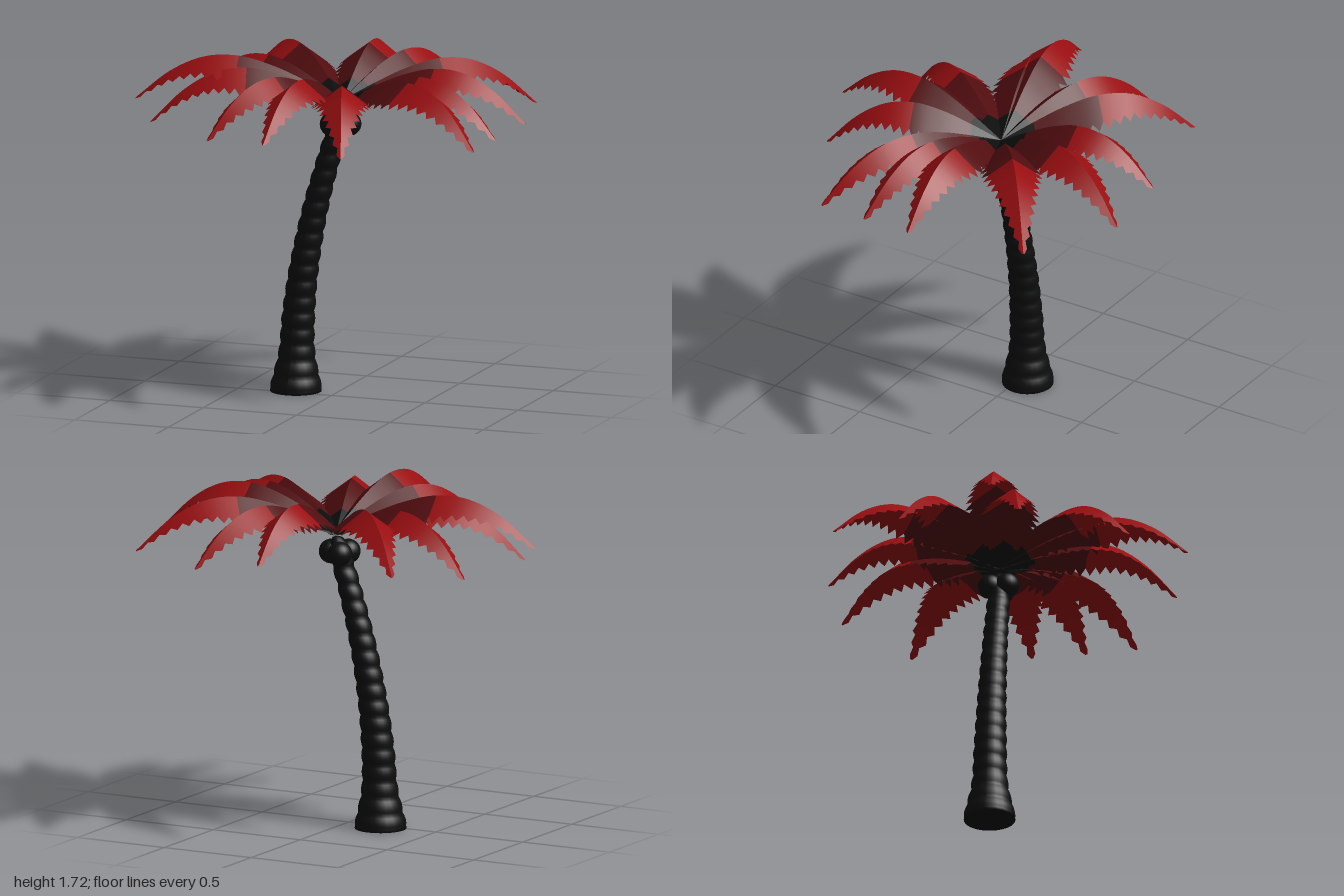
import * as THREE from 'three';

const charcoal = new THREE.MeshStandardMaterial({ color: 0x0d0e0e, side: THREE.DoubleSide });
charcoal.name = 'charcoal';
const darkRed = new THREE.MeshStandardMaterial({ color: 0x520d10, side: THREE.DoubleSide });
darkRed.name = 'darkRed';
const red = new THREE.MeshStandardMaterial({ color: 0x980e11, side: THREE.DoubleSide });
red.name = 'red';

const CROWN_X = 0.04, CROWN_Z = -0.05;
const STEPS = 36;

// Frond section along its length: (fraction of length, midrib height, half width)
const frondCurve = new THREE.CatmullRomCurve3([
  [0, 1.51, 0.04], [1 / 6, 1.59, 0.07], [2 / 6, 1.66, 0.125], [3 / 6, 1.70, 0.135],
  [4 / 6, 1.685, 0.1], [5 / 6, 1.6, 0.058], [1, 1.45, 0.005],
].map((p) => new THREE.Vector3(...p)), false, 'catmullrom', 0.5);

// Frond tips: x, y, z
const tips = [
  [0.0, 1.48, -0.925], [0.36, 1.43, -0.935], [0.84, 1.43, -0.685], [1.0, 1.45, -0.1],
  [0.95, 1.42, 0.19], [0.93, 1.41, 0.455], [0.345, 1.4, 0.79], [-0.02, 1.47, 0.925],
  [-0.4, 1.42, 0.71], [-0.877, 1.39, 0.246], [-1.0, 1.48, 0.134], [-0.87, 1.4, -0.37],
  [-0.67, 1.46, -0.75],
];

// A roof-shaped leaf with toothed edges, coloured in three bands
function makeFrond([tx, ty, tz]) {
  const dx = tx - CROWN_X, dz = tz - CROWN_Z;
  const length = Math.hypot(dx, dz);
  const sx = -dz / length, sz = dx / length;
  const positions = [];
  for (const side of [1, -1]) {
    for (let i = 0; i <= STEPS; i++) {
      const p = frondCurve.getPoint(i / STEPS);
      const t = i / STEPS;
      const y = p.y + (ty - 1.45) * t;
      let half = p.z;
      if (i > 8 && i < STEPS) half = i % 2 ? half * 1.1 + 0.006 : half * 0.9 - 0.004;
      const x = CROWN_X + dx * t, z = CROWN_Z + dz * t;
      positions.push(x, y, z);
      positions.push(x + sx * half * side, y - half * 0.75, z + sz * half * side);
    }
  }
  const index = [];
  const geometry = new THREE.BufferGeometry();
  const bands = [0, STEPS / 6, STEPS / 2, STEPS];
  for (let b = 0; b < 3; b++) {
    const start = index.length;
    for (let s = 0; s < 2; s++) {
      for (let i = bands[b]; i < bands[b + 1]; i++) {
        const a = (s * (STEPS + 1) + i) * 2;
        if (s === 0) index.push(a, a + 1, a + 2, a + 1, a + 3, a + 2);
        else index.push(a, a + 2, a + 1, a + 1, a + 2, a + 3);
      }
    }
    geometry.addGroup(start, index.length - start, b);
  }
  geometry.setAttribute('position', new THREE.Float32BufferAttribute(positions, 3));
  geometry.setIndex(index);
  geometry.computeVertexNormals();
  const frond = new THREE.Mesh(geometry, [charcoal, darkRed, red]);
  frond.name = 'frond';
  return frond;
}

// Ringed trunk: a lathe with bulges, bent along x
function makeTrunk() {
  const radius = new THREE.SplineCurve([
    [0, 0.13], [0.2, 0.09], [0.4, 0.081], [0.6, 0.074], [0.8, 0.068], [1, 0.063], [1.2, 0.058], [1.4, 0.054],
  ].map((p) => new THREE.Vector2(...p)));
  const bend = new THREE.SplineCurve([
    [0, -0.21], [0.2, -0.205], [0.4, -0.195], [0.6, -0.172], [0.8, -0.137], [1, -0.092], [1.2, -0.036], [1.4, 0.02],
  ].map((p) => new THREE.Vector2(...p)));
  const profile = [new THREE.Vector2(0.0001, 0)];
  const rings = 17, perRing = 6;
  for (let i = 0; i <= rings * perRing; i++) {
    const u = i / (rings * perRing);
    const bulge = 0.008 * Math.abs(Math.sin(Math.PI * u * rings)) - 0.004;
    profile.push(new THREE.Vector2(radius.getPoint(u).y + (i ? bulge : 0), 1.4 * u));
  }
  profile.push(new THREE.Vector2(0.045, 1.44), new THREE.Vector2(0.025, 1.465), new THREE.Vector2(0.0001, 1.47));
  const geometry = new THREE.LatheGeometry(profile, 24);
  const pos = geometry.attributes.position;
  for (let i = 0; i < pos.count; i++) {
    const y = pos.getY(i);
    const shift = y <= 1.4 ? bend.getPoint(y / 1.4).y : 0.02 + (y - 1.4) * 0.28;
    pos.setX(i, pos.getX(i) + shift);
    pos.setZ(i, pos.getZ(i) + CROWN_Z);
  }
  geometry.computeVertexNormals();
  const trunk = new THREE.Mesh(geometry, charcoal);
  trunk.name = 'trunk';
  return trunk;
}

export function createModel() {
  const palm = new THREE.Group();
  palm.name = 'palmTree';
  palm.add(makeTrunk());

  // Nuts clustered below the crown
  const nutGeometry = new THREE.SphereGeometry(0.062, 20, 14);
  for (const [x, z] of [[0, -0.007], [0.075, -0.05], [0, -0.093]]) {
    const nut = new THREE.Mesh(nutGeometry, charcoal);
    nut.name = 'nut';
    nut.position.set(x, 1.39, z);
    palm.add(nut);
  }

  // Crown of fronds
  const crown = new THREE.Group();
  crown.name = 'crown';
  for (const tip of tips) crown.add(makeFrond(tip));
  palm.add(crown);
  return palm;
}
